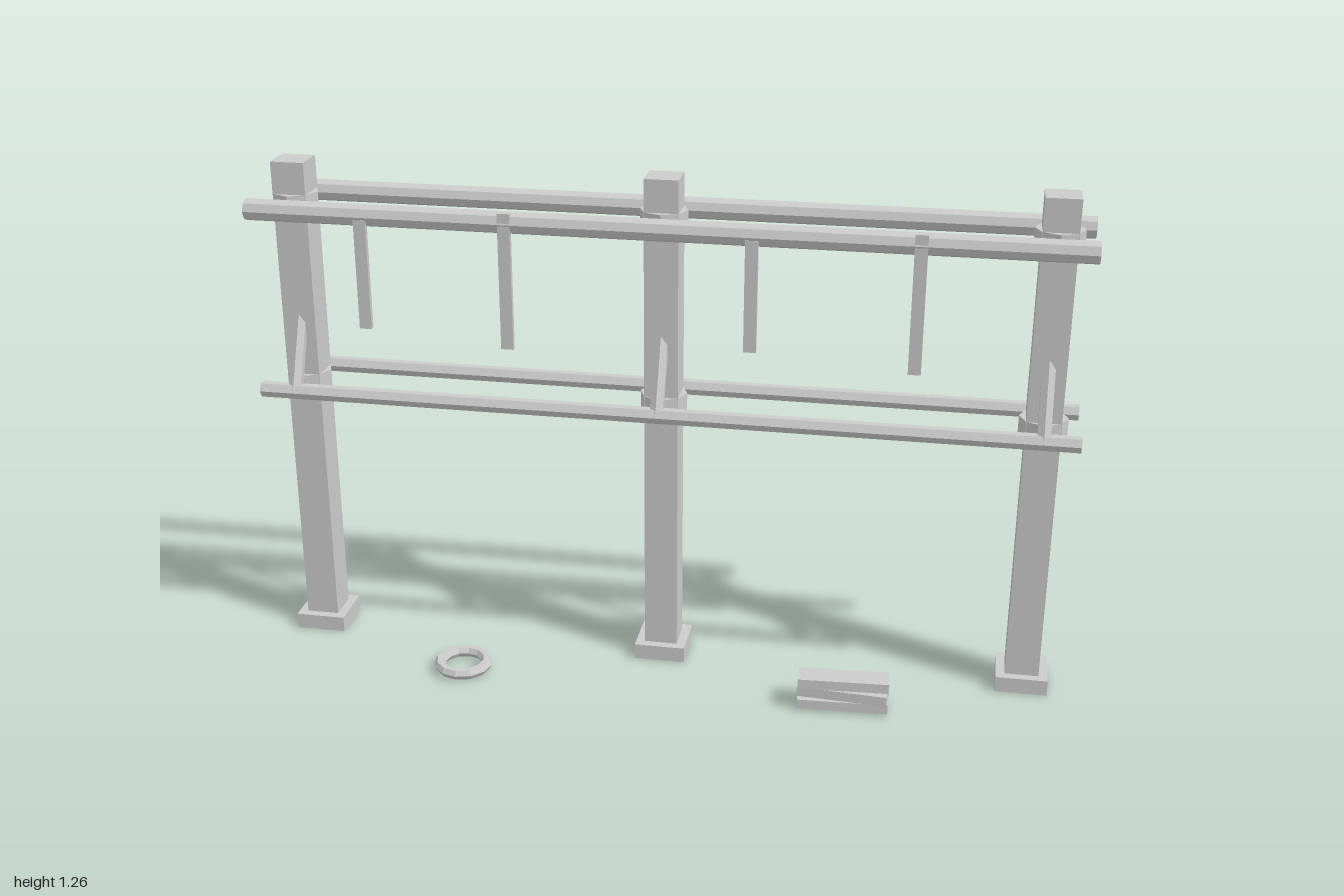
import * as THREE from 'three';

const POST_Z = -0.068;          // line of the posts
const RAIL_OFFSET = 0.102;      // rails sit this far in front of and behind it
const TOP_Y = 1.157, LOW_Y = 0.695;

export function createModel() {
  const root = new THREE.Group();
  const mat = new THREE.MeshStandardMaterial({ color: 0xcccccc, flatShading: true });

  const add = (name, geometry, x, y, z, parent = root) => {
    const mesh = new THREE.Mesh(geometry, mat);
    mesh.name = name;
    mesh.position.set(x, y, z);
    parent.add(mesh);
    return mesh;
  };

  // Rails: thick octagonal pair above, thin hexagonal pair below
  const rail = (name, radius, sides, y) => {
    const geometry = new THREE.CylinderGeometry(radius, radius, 2, sides).rotateZ(Math.PI / 2);
    for (const s of [1, -1]) add((s > 0 ? 'front' : 'back') + name, geometry, 0, y, POST_Z + s * RAIL_OFFSET);
  };
  rail('TopRail', 0.027, 8, TOP_Y);
  rail('LowerRail', 0.02, 6, LOW_Y);

  // Posts with footing, collars and a diagonal brace from lower front to upper back
  const foot = new THREE.BoxGeometry(0.128, 0.04, 0.128);
  const shaft = new THREE.BoxGeometry(0.083, 1.22, 0.083);
  const collar = new THREE.CylinderGeometry(0.058, 0.058, 0.046, 8);
  const rise = TOP_Y - LOW_Y, run = 2 * RAIL_OFFSET;
  const brace = new THREE.CylinderGeometry(0.018, 0.018, Math.hypot(rise, run), 6);
  for (const x of [-0.914, 0, 0.914]) {
    const post = new THREE.Group();
    post.name = 'post';
    post.position.set(x, 0, POST_Z);
    root.add(post);
    add('footing', foot, 0, 0.02, 0, post);
    add('postShaft', shaft, 0, 0.65, 0, post);
    add('topCollar', collar, 0, TOP_Y, 0, post);
    add('lowerCollar', collar, 0, LOW_Y, 0, post);
    add('brace', brace, 0, (TOP_Y + LOW_Y) / 2, 0, post).rotation.x = -Math.atan2(run, rise);
  }

  // Straps hanging from the front top rail: [x, bottom, top]
  for (const [x, bottom, top] of [[-0.71, 0.88, 1.15], [-0.358, 0.85, 1.184], [0.225, 0.88, 1.15], [0.608, 0.85, 1.184]]) {
    add('hangingStrap', new THREE.BoxGeometry(0.03, top - bottom, 0.013), x, (top + bottom) / 2, 0.053);
  }

  // Ring lying on the ground
  const ring = new THREE.TorusGeometry(0.06, 0.0145, 6, 12).rotateX(Math.PI / 2);
  add('groundRing', ring, -0.484, 0.017, 0.125);

  // Loose stack of three planks, each turned a little
  const plank = new THREE.BoxGeometry(0.22, 0.025, 0.06);
  [0.05, -0.06, 0.06].forEach((turn, i) => {
    add('plank', plank, 0.483, 0.017 + i * 0.0285, 0.139).rotation.y = turn;
  });

  return root;
}
